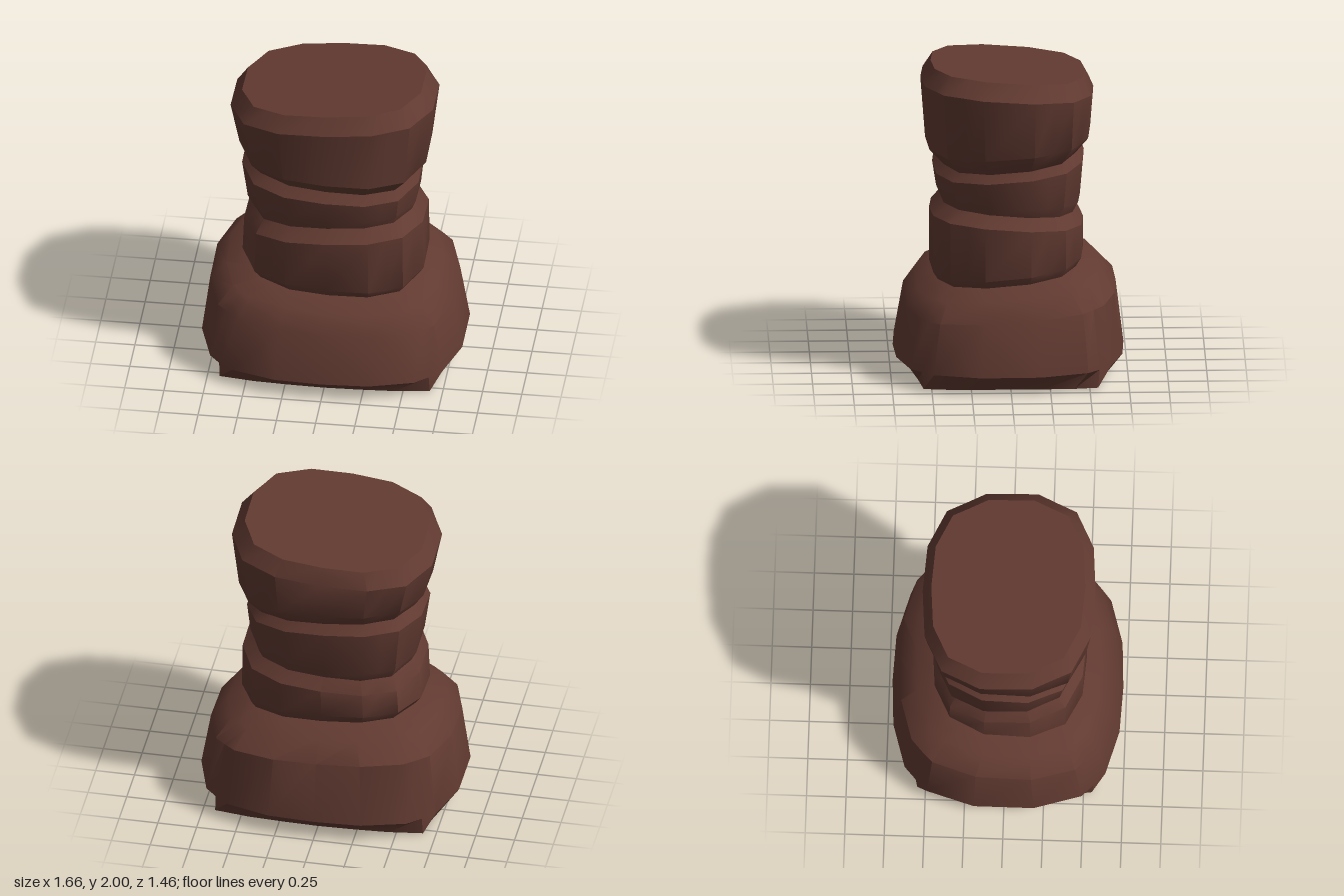
import * as THREE from 'three';
import { toCreasedNormals } from 'three/addons/utils/BufferGeometryUtils.js';

// Quarter outlines (x, z) of unit size, from the side round to the front
const FOOT = [[1, 0.33], [0.99, 0.67], [0.957, 0.92], [0.64, 0.97], [0.32, 0.99], [0, 1]];
const WIDE = [[1, 0.26], [0.89, 0.67], [0.8, 0.77], [0.7, 0.87], [0.36, 0.98], [0, 1]];
const NECK = [[1, 0.3], [0.91, 0.52], [0.82, 0.75], [0.64, 0.855], [0.46, 0.96], [0, 1]];

// Mirrors a quarter outline into a full loop of 22 points
function outline(q) {
  const back = (a) => a.slice(0, -1).reverse();
  return [
    ...q,
    ...back(q).map(([x, z]) => [-x, z]),
    ...q.map(([x, z]) => [-x, -z]),
    ...back(q).map(([x, z]) => [x, -z]),
  ];
}

// A tilted ring: x and y at its left and right ends, z and y at its front and back
function ring(shape, xl, yl, xr, yr, zf, yf, zb, yb) {
  const cx = (xl + xr) / 2, rx = (xr - xl) / 2;
  const cz = (zf + zb) / 2, rz = (zf - zb) / 2;
  const cy = (yl + yr + yf + yb) / 4;
  return outline(shape).map(([x, z]) => new THREE.Vector3(
    cx + rx * x, cy + x * (yr - yl) / 2 + z * (yf - yb) / 2, cz + rz * z));
}

// Skins a stack of rings from bottom to top, with optional end caps
function skin(rings, capBottom, capTop) {
  const pos = [];
  const tri = (...pts) => pts.forEach((p) => pos.push(p.x, p.y, p.z));
  const n = rings[0].length;
  const centre = (r) => r.reduce((s, p) => s.add(p), new THREE.Vector3()).divideScalar(n);
  for (let k = 0; k < rings.length - 1; k++) {
    for (let i = 0; i < n; i++) {
      const j = (i + 1) % n, a = rings[k], b = rings[k + 1];
      tri(a[i], b[i], a[j]);
      tri(a[j], b[i], b[j]);
    }
  }
  const first = rings[0], last = rings[rings.length - 1];
  const c0 = centre(first).setY(0), c1 = centre(last);
  for (let i = 0; i < n; i++) {
    const j = (i + 1) % n;
    if (capBottom) tri(c0, first[i], first[j]);
    if (capTop) tri(c1, last[j], last[i]);
  }
  const geo = new THREE.BufferGeometry();
  geo.setAttribute('position', new THREE.Float32BufferAttribute(pos, 3));
  return toCreasedNormals(geo, 0.62);
}

export function createModel() {
  const group = new THREE.Group();
  const brown = new THREE.MeshStandardMaterial({ color: 0x613a31 });
  brown.name = 'dark brown';

  const rings = [
    // flared base
    ring(FOOT, -0.70, 0.01, 0.70, 0.01, 0.60, 0.01, -0.60, 0.01),
    ring(WIDE, -0.83, 0.12, 0.83, 0.12, 0.73, 0.12, -0.73, 0.13),
    ring(WIDE, -0.78, 0.52, 0.77, 0.47, 0.67, 0.44, -0.68, 0.53),
    ring(WIDE, -0.68, 0.64, 0.67, 0.59, 0.59, 0.56, -0.57, 0.65),
    ring(NECK, -0.53, 0.69, 0.55, 0.65, 0.47, 0.62, -0.44, 0.70),
    // lower band
    ring(NECK, -0.575, 0.74, 0.58, 0.69, 0.50, 0.68, -0.475, 0.77),
    ring(NECK, -0.565, 0.96, 0.575, 1.02, 0.50, 1.02, -0.475, 0.95),
    ring(NECK, -0.51, 1.04, 0.50, 1.09, 0.43, 1.10, -0.42, 1.03),
    // middle band
    ring(NECK, -0.545, 1.11, 0.525, 1.15, 0.455, 1.16, -0.455, 1.10),
    ring(NECK, -0.58, 1.39, 0.545, 1.33, 0.48, 1.31, -0.48, 1.38),
    ring(NECK, -0.53, 1.455, 0.51, 1.385, 0.43, 1.37, -0.435, 1.44),
    // top band
    ring(NECK, -0.595, 1.55, 0.595, 1.49, 0.525, 1.48, -0.52, 1.55),
    ring(NECK, -0.65, 1.81, 0.64, 1.88, 0.555, 1.87, -0.54, 1.80),
    ring(NECK, -0.58, 1.91, 0.56, 1.98, 0.49, 1.98, -0.485, 1.91),
  ];

  const parts = [['flaredBase', 0, 4], ['lowerBand', 4, 7], ['middleBand', 7, 10], ['topBand', 10, 13]];
  for (const [name, from, to] of parts) {
    const geo = skin(rings.slice(from, to + 1), from === 0, to === 13);
    const mesh = new THREE.Mesh(geo, brown);
    mesh.name = name;
    group.add(mesh);
  }
  return group;
}
